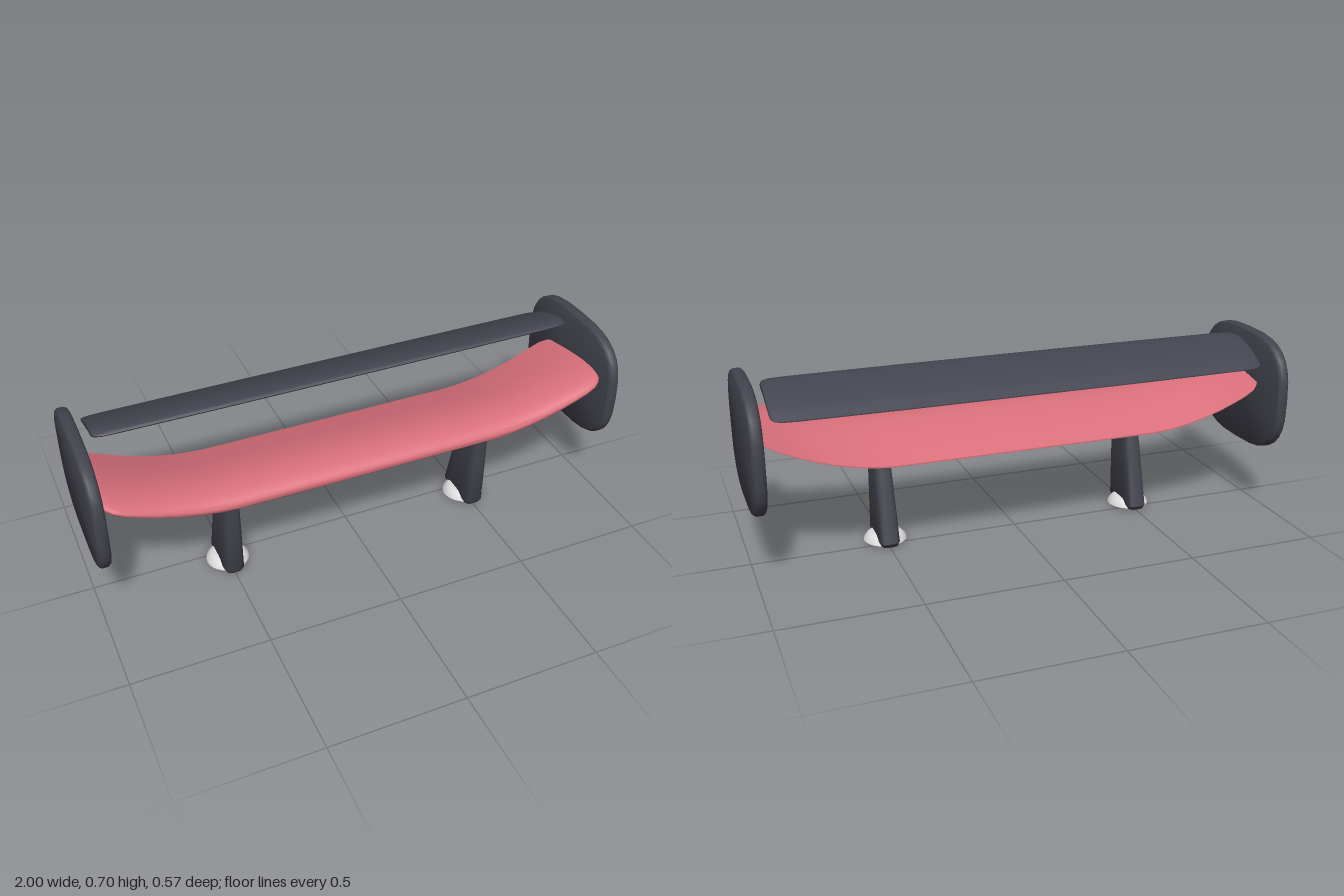
import * as THREE from 'three';
import { toCreasedNormals } from 'three/addons/utils/BufferGeometryUtils.js';

const material = (name, color) => {
  const m = new THREE.MeshStandardMaterial({ color });
  m.name = name;
  return m;
};

// Skins a list of rings (counterclockwise about the direction of travel) and caps both ends.
function loft(rings, crease = 0.7) {
  const n = rings[0].length, last = rings.length - 1;
  const pos = [], index = [];
  rings.forEach(r => r.forEach(p => pos.push(p.x, p.y, p.z)));
  for (let k = 0; k < last; k++) {
    for (let i = 0; i < n; i++) {
      const j = (i + 1) % n;
      const a = k * n + i, b = k * n + j, c = b + n, d = a + n;
      index.push(a, b, c, a, c, d);
    }
  }
  for (const k of [0, last]) {
    const mid = new THREE.Vector3();
    rings[k].forEach(p => mid.addScaledVector(p, 1 / n));
    const c = pos.length / 3;
    pos.push(mid.x, mid.y, mid.z);
    for (let i = 0; i < n; i++) {
      const a = k * n + i, b = k * n + (i + 1) % n;
      if (k === 0) index.push(c, b, a);
      else index.push(c, a, b);
    }
  }
  const g = new THREE.BufferGeometry();
  g.setAttribute('position', new THREE.Float32BufferAttribute(pos, 3));
  g.setIndex(index);
  return toCreasedNormals(g, crease);
}

// Smooth wing section from [z, y] points: trailing edge, top, nose, underside.
const section = pts => new THREE.CatmullRomCurve3(
  pts.map(([z, y]) => new THREE.Vector3(0, y, z)), false, 'centripetal').getPoints(36);

// Wing: section swept along x; half stations are [x, chordScale, heightScale, lift].
function wing(pts, cz, cy, half) {
  const base = section(pts);
  const left = half.map(([x, ...r]) => [-x, ...r]).reverse();
  return loft([...left, ...half].map(([x, sz, sy, lift]) => base.map(p =>
    new THREE.Vector3(x, cy + (p.y - cy) * sy + lift, cz + (p.z - cz) * sz))));
}

const power = (v, e) => Math.sign(v) * Math.abs(v) ** e;

export function createModel() {
  const dark = material('charcoal', 0x44444f);
  const red = material('coral red', 0xd9707b);
  const pale = material('light grey', 0xdcdcdc);
  const group = new THREE.Group();
  const add = (name, geometry, mat, parent = group) => {
    const mesh = new THREE.Mesh(geometry, mat);
    mesh.name = name;
    parent.add(mesh);
    return mesh;
  };

  // Main wing, its tips sweeping up and thinning
  const mainHalf = [0.25, 0.5, 0.57, 0.64, 0.71, 0.78, 0.84, 0.89, 0.925, 0.945, 0.957].map(x => {
    const t = Math.max(0, (x - 0.48) / 0.477);
    const corner = Math.max(0, (x - 0.89) / 0.067);
    return [x, 1 - 0.02 * t - 0.16 * corner ** 3, 1 - 0.42 * t * t - 0.15 * corner ** 3, 0.117 * t ** 1.9];
  });
  add('mainWing', wing([
    [-0.165, 0.369], [-0.06, 0.407], [0.05, 0.441], [0.14, 0.455], [0.21, 0.446], [0.245, 0.422],
    [0.247, 0.4], [0.22, 0.383], [0.13, 0.374], [0, 0.368], [-0.165, 0.364],
  ], 0.045, 0.41, mainHalf), red);

  // Upper flap, sloping down to the rear
  add('upperFlap', wing([
    [-0.225, 0.594], [-0.17, 0.628], [-0.09, 0.662], [-0.02, 0.68], [0.015, 0.68], [0.03, 0.672],
    [0.02, 0.662], [-0.05, 0.646], [-0.14, 0.618], [-0.225, 0.59],
  ], -0.0975, 0.64, [
    [0.45, 1, 1, 0], [0.83, 0.98, 0.98, 0], [0.885, 0.96, 0.96, 0],
    [0.908, 0.9, 0.9, 0], [0.917, 0.82, 0.82, 0], [0.92, 0.72, 0.72, 0],
  ]), dark);

  // End plates: rounded squares with softened rims
  const plateRings = [[-0.0225, 0.955], [-0.019, 0.98], [-0.011, 1], [0.011, 1], [0.019, 0.98], [0.0225, 0.955]]
    .map(([x, s]) => Array.from({ length: 32 }, (_, i) => {
      const a = i / 32 * Math.PI * 2;
      return new THREE.Vector3(x,
        0.468 + 0.229 * s * power(Math.cos(a), 0.66), 0.286 * s * power(Math.sin(a), 0.66));
    }));
  const plate = loft(plateRings);

  // Legs: tapering rounded bars, [y, rear z, front z, half width]
  const legRings = [
    [0, -0.035, 0.12, 0.026], [0.006, -0.05, 0.135, 0.034], [0.022, -0.06, 0.145, 0.04],
    [0.24, -0.005, 0.155, 0.034], [0.395, 0.036, 0.162, 0.029],
  ].map(([y, z0, z1, w]) => Array.from({ length: 24 }, (_, i) => {
    const a = (i + 0.5) / 24 * Math.PI * 2;
    return new THREE.Vector3(w * power(Math.sin(a), 0.5), y,
      (z0 + z1) / 2 + (z1 - z0) / 2 * power(Math.cos(a), 0.4));
  }));
  const leg = loft(legRings);

  // Round domed foot
  const foot = toCreasedNormals(new THREE.LatheGeometry(
    [[0, 0.002], [0.076, 0.002], [0.08, 0.008], [0.076, 0.018], [0.066, 0.03], [0.055, 0.038], [0.045, 0.04], [0, 0.04]]
      .map(([r, y]) => new THREE.Vector2(r, y)), 32), 0.8);

  for (const [side, s] of [['left', 1], ['right', -1]]) {
    add(side + 'EndPlate', plate, dark).position.x = s * 0.9775;
    const support = new THREE.Group();
    support.name = side + 'Support';
    support.position.x = s * 0.5;
    add('leg', leg, dark, support);
    add('foot', foot, pale, support).position.z = 0.04;
    group.add(support);
  }
  return group;
}
